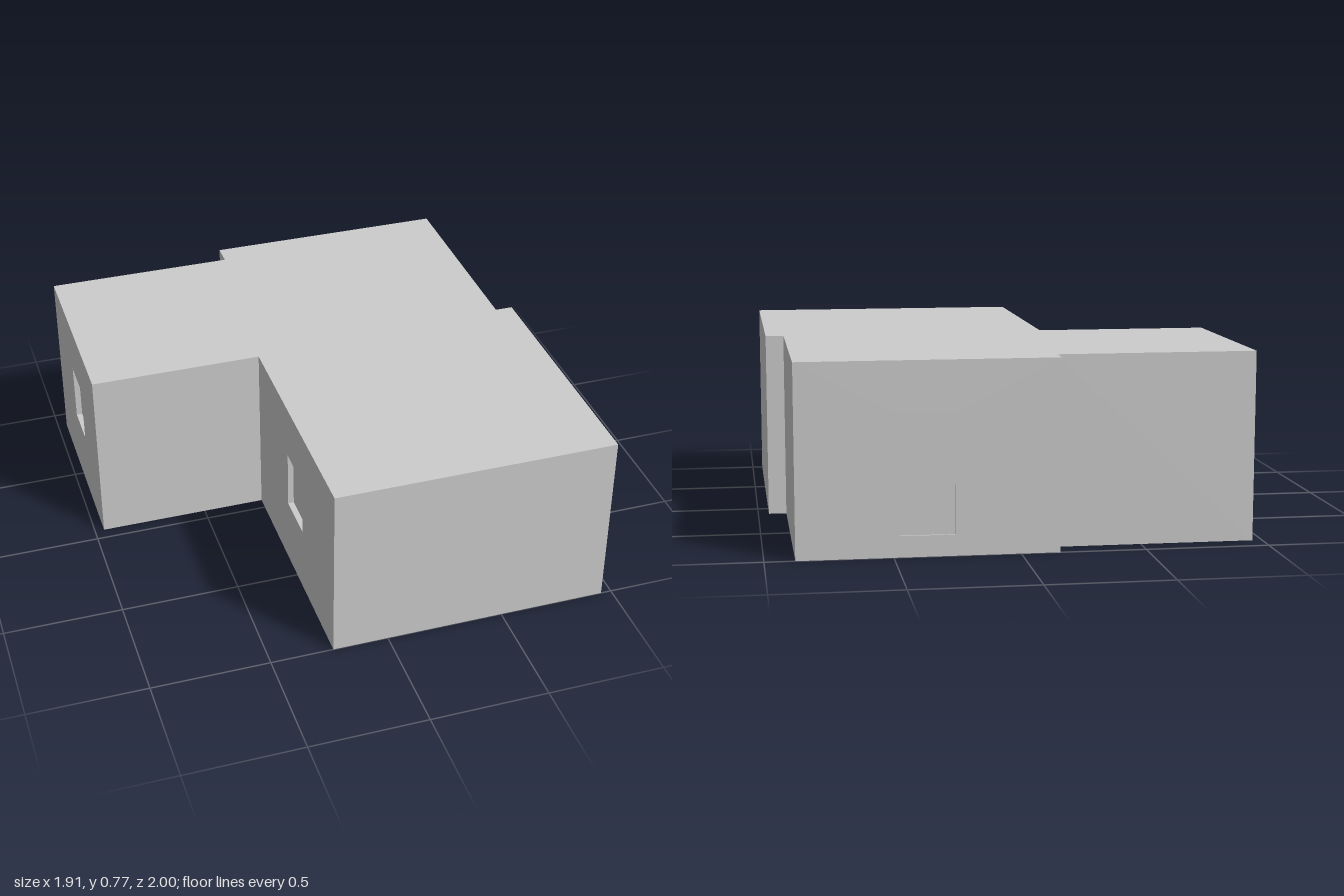
import * as THREE from 'three';

const HEIGHT = 0.77;

// Footprint corners [x, z], so that each wall's outside is on the right of its run
const corners = [
  [-0.235, 1], [0.955, 1], [0.955, -0.11], [0.88, -0.11], [0.88, -1],
  [-0.155, -1], [-0.155, -0.905], [-0.96, -0.905], [-0.96, -0.055], [-0.235, -0.055],
];

// Recesses: wall index, range along the wall, height range, depth
const recesses = [
  { name: 'doorRecess', wall: 4, u: [0.4, 0.62], y: [0.085, 0.565], depth: 0.008 },
  { name: 'wingWindow', wall: 7, u: [0.35, 0.54], y: [0.29, 0.54], depth: 0.025 },
  { name: 'sideWindow', wall: 9, u: [0.425, 0.63], y: [0.29, 0.54], depth: 0.025 },
];

const material = new THREE.MeshStandardMaterial({ color: 0xcccccc });

function part(name, geometry) {
  const mesh = new THREE.Mesh(geometry, material);
  mesh.name = name;
  return mesh;
}

function rectangle(path, [x0, x1], [y0, y1]) {
  path.moveTo(x0, y0);
  path.lineTo(x1, y0);
  path.lineTo(x1, y1);
  path.lineTo(x0, y1);
  path.closePath();
  return path;
}

// Inward-facing box, open on the outer side
function recessGeometry({ u, y, depth }) {
  const box = new THREE.BoxGeometry(u[1] - u[0], y[1] - y[0], depth);
  box.setIndex(Array.from(box.index.array).slice(0, 30));
  box.clearGroups();
  box.scale(1, 1, -1);
  const geometry = box.toNonIndexed();
  geometry.computeVertexNormals();
  return geometry.translate((u[0] + u[1]) / 2, (y[0] + y[1]) / 2, -depth / 2);
}

// Flat wall between two corners, with its recesses cut in
function makeWall(index) {
  const [ax, az] = corners[index];
  const [bx, bz] = corners[(index + 1) % corners.length];
  const length = Math.hypot(bx - ax, bz - az);
  const shape = rectangle(new THREE.Shape(), [0, length], [0, HEIGHT]);
  const wall = new THREE.Group();
  wall.name = `wall${index + 1}`;
  for (const recess of recesses.filter((r) => r.wall === index)) {
    shape.holes.push(rectangle(new THREE.Path(), recess.u, recess.y));
    wall.add(part(recess.name, recessGeometry(recess)));
  }
  wall.add(part('wallFace', new THREE.ShapeGeometry(shape)));
  wall.position.set(ax, 0, az);
  wall.rotation.y = Math.atan2(az - bz, bx - ax);
  return wall;
}

// Footprint slab face, turned up (+1) or down (-1)
function footprint(up) {
  const shape = new THREE.Shape(corners.map(([x, z]) => new THREE.Vector2(x, -up * z)));
  return new THREE.ShapeGeometry(shape).rotateX(-up * Math.PI / 2);
}

export function createModel() {
  const building = new THREE.Group();
  building.name = 'building';
  corners.forEach((_, i) => building.add(makeWall(i)));

  const roof = part('roof', footprint(1));
  roof.position.y = HEIGHT;
  building.add(roof, part('floor', footprint(-1)));
  return building;
}
